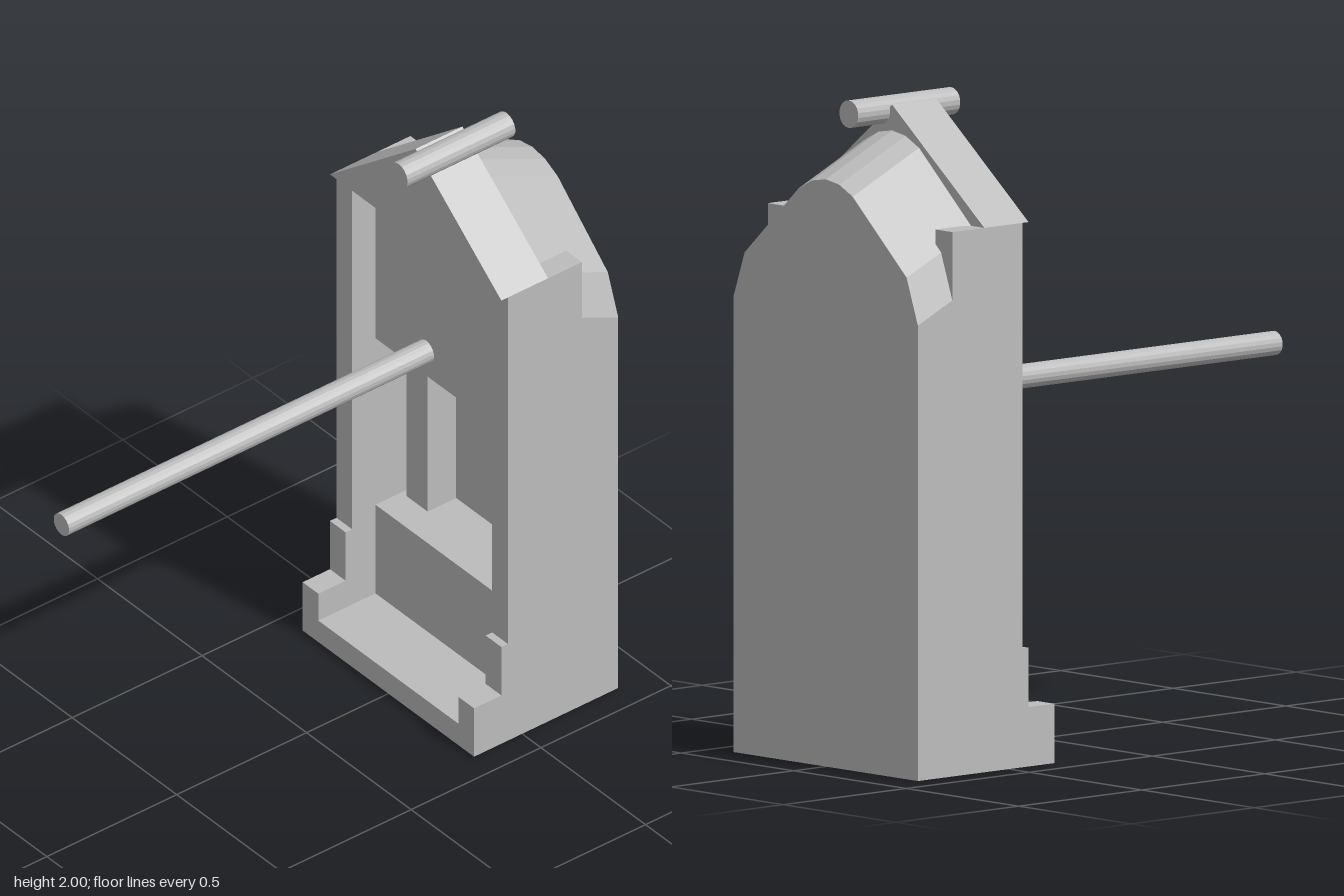
import * as THREE from 'three';

const grey = new THREE.MeshStandardMaterial({ color: 0xbcbcbc, flatShading: true });
grey.name = 'plain grey';
const smoothGrey = grey;

function part(group, name, geometry) {
  const mesh = new THREE.Mesh(geometry, grey);
  mesh.name = name;
  group.add(mesh);
  return mesh;
}

// Box given by its limits on each axis
function block(x0, x1, y0, y1, z0, z1) {
  return new THREE.BoxGeometry(x1 - x0, y1 - y0, z1 - z0)
    .translate((x0 + x1) / 2, (y0 + y1) / 2, (z0 + z1) / 2);
}

function outline(points) {
  return new THREE.Shape(points.map(([a, b]) => new THREE.Vector2(a, b)));
}

// Front outline (x, y) extruded from z0 to z1
function frontPrism(points, z0, z1) {
  return new THREE.ExtrudeGeometry(outline(points), { depth: z1 - z0, bevelEnabled: false })
    .translate(0, 0, z0);
}

// Side outline (z, y) extruded from x0 to x1
function sidePrism(points, x0, x1) {
  return new THREE.ExtrudeGeometry(outline(points), { depth: x1 - x0, bevelEnabled: false })
    .rotateY(-Math.PI / 2).translate(x1, 0, 0);
}

// Round bar along z
function bar(x, y, z0, z1, radius) {
  return new THREE.CylinderGeometry(radius, radius, z1 - z0, 18)
    .rotateX(Math.PI / 2).translate(x, y, (z0 + z1) / 2);
}

export function createModel() {
  const model = new THREE.Group();
  model.name = 'booth';
  const W = 0.41, I = 0.335;            // outer and inner half widths
  const BACK = -0.87, INNER = -0.745, PANEL = -0.535;

  // Side walls with stepped feet and a notch behind the gable
  const wall = [
    [BACK, 0], [-0.315, 0], [-0.315, 0.18], [-0.42, 0.18], [-0.42, 0.36],
    [-0.445, 0.36], [-0.445, 1.65], [-0.73, 1.65], [-0.73, 1.4], [BACK, 1.38],
  ];
  part(model, 'leftWall', sidePrism(wall, I, W));
  part(model, 'rightWall', sidePrism(wall, -W, -I));

  // Floor, back wall and the panels of the front recess
  part(model, 'floor', block(-I, I, 0, 0.08, BACK, -0.315));
  part(model, 'backWall', block(-I, I, 0.08, 1.38, BACK, INNER));
  part(model, 'counter', block(-I, I, 0.08, 0.41, INNER, PANEL));
  part(model, 'post', block(-0.31, -0.21, 0.41, 0.93, INNER, -0.635));
  part(model, 'slopedLintel', sidePrism(
    [[INNER, 0.93], [-0.635, 0.93], [PANEL, 1.03], [INNER, 1.03]], -I, I));
  part(model, 'upperPanel', block(-I, I, 1.03, 1.65, -0.6, PANEL));

  // Gable
  part(model, 'gable', frontPrism([[-W, 1.65], [W, 1.65], [0, 1.98]], -0.6, -0.42));

  // Rear roof: rounded profile that rises towards the gable
  const half = [[W, 1.38], [0.36, 1.52], [0.12, 1.74], [0.06, 1.77]];
  const profile = [
    [-W, 1.3], [W, 1.3], ...half, [0, 1.78],
    ...half.map(([x, y]) => [-x, y]).reverse(),
  ];
  const roof = frontPrism(profile, BACK, -0.6);
  const p = roof.attributes.position;
  for (let i = 0; i < p.count; i++) {
    if (p.getY(i) > 1.35) p.setY(i, p.getY(i) + 0.45 * (p.getZ(i) - BACK));
  }
  roof.computeVertexNormals();
  part(model, 'rearRoof', roof);

  // Bar on the ridge and the long pole at the front
  part(model, 'ridgeBar', bar(0.05, 1.958, -0.73, -0.315, 0.042));
  part(model, 'pole', bar(-0.092, 1.123, PANEL - 0.02, 0.87, 0.037));

  return model;
}
